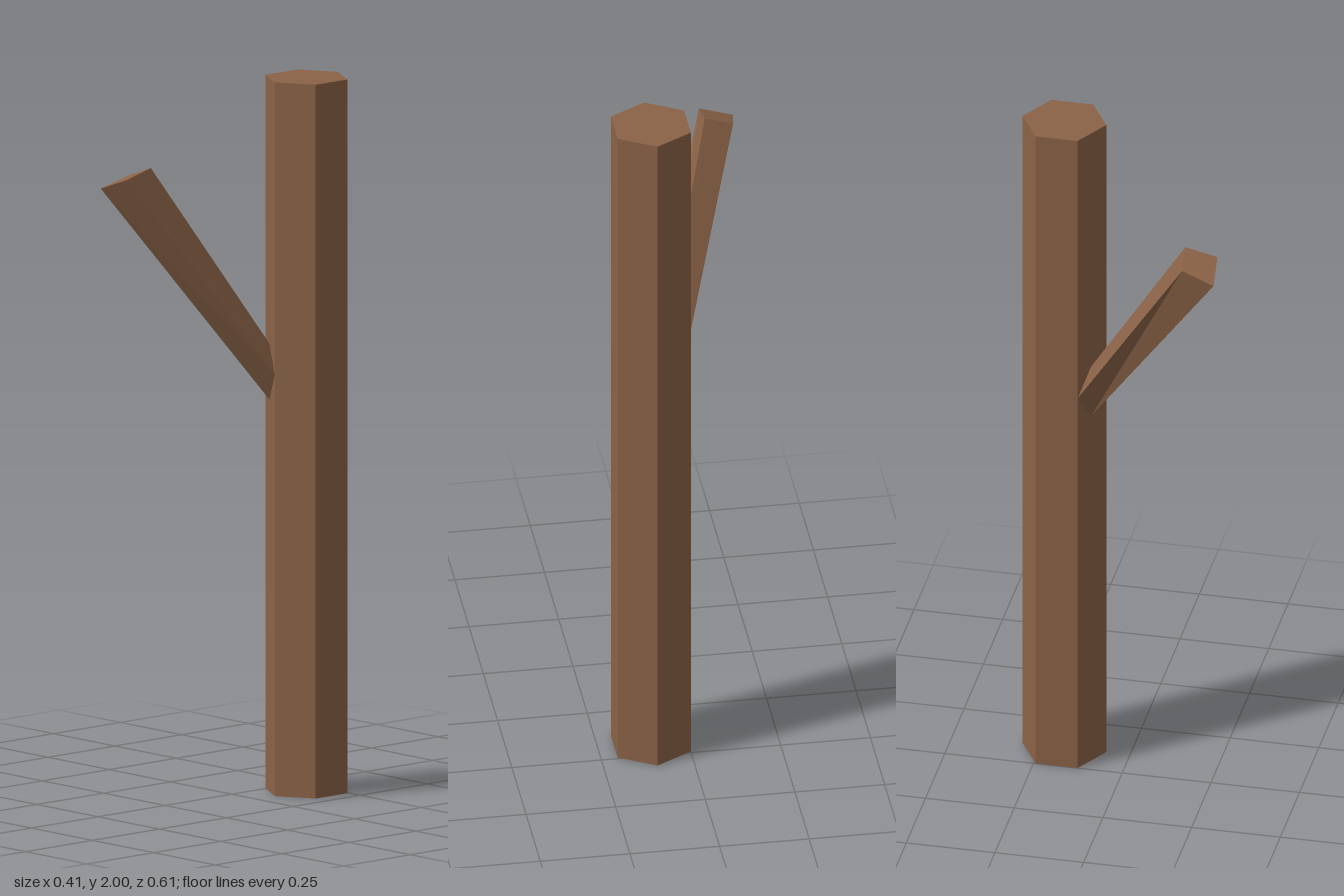
import * as THREE from 'three';

const bark = new THREE.MeshStandardMaterial({ color: 0x8b6347, flatShading: true });

// Tapered four-sided limb between two rings of corners, closed at the tip
function limb(base, tip) {
  const points = [];
  for (let i = 0; i < 4; i++) {
    const j = (i + 1) % 4;
    points.push(base[i], tip[i], tip[j], base[i], tip[j], base[j]);
  }
  points.push(tip[0], tip[2], tip[1], tip[0], tip[3], tip[2]);
  const geometry = new THREE.BufferGeometry();
  geometry.setAttribute('position', new THREE.Float32BufferAttribute(points.flat(), 3));
  geometry.computeVertexNormals();
  return geometry;
}

export function createModel() {
  const model = new THREE.Group();
  model.name = 'branchedTrunk';

  // Straight hexagonal trunk
  const trunk = new THREE.Mesh(new THREE.CylinderGeometry(0.118, 0.118, 2, 6), bark);
  trunk.name = 'trunk';
  trunk.position.set(0.102, 1, -0.185);
  model.add(trunk);

  // Side branch growing from one trunk face; corners run top, right, bottom, left
  const base = [[0.046, 1.257, -0.098], [0.102, 1.18, -0.067], [0.046, 1.1, -0.098], [0, 1.18, -0.125]];
  const tip = [[-0.11, 1.765, 0.202], [-0.108, 1.743, 0.292], [-0.205, 1.707, 0.302], [-0.19, 1.735, 0.21]];
  const branch = new THREE.Mesh(limb(base, tip), bark);
  branch.name = 'branch';
  model.add(branch);

  return model;
}
